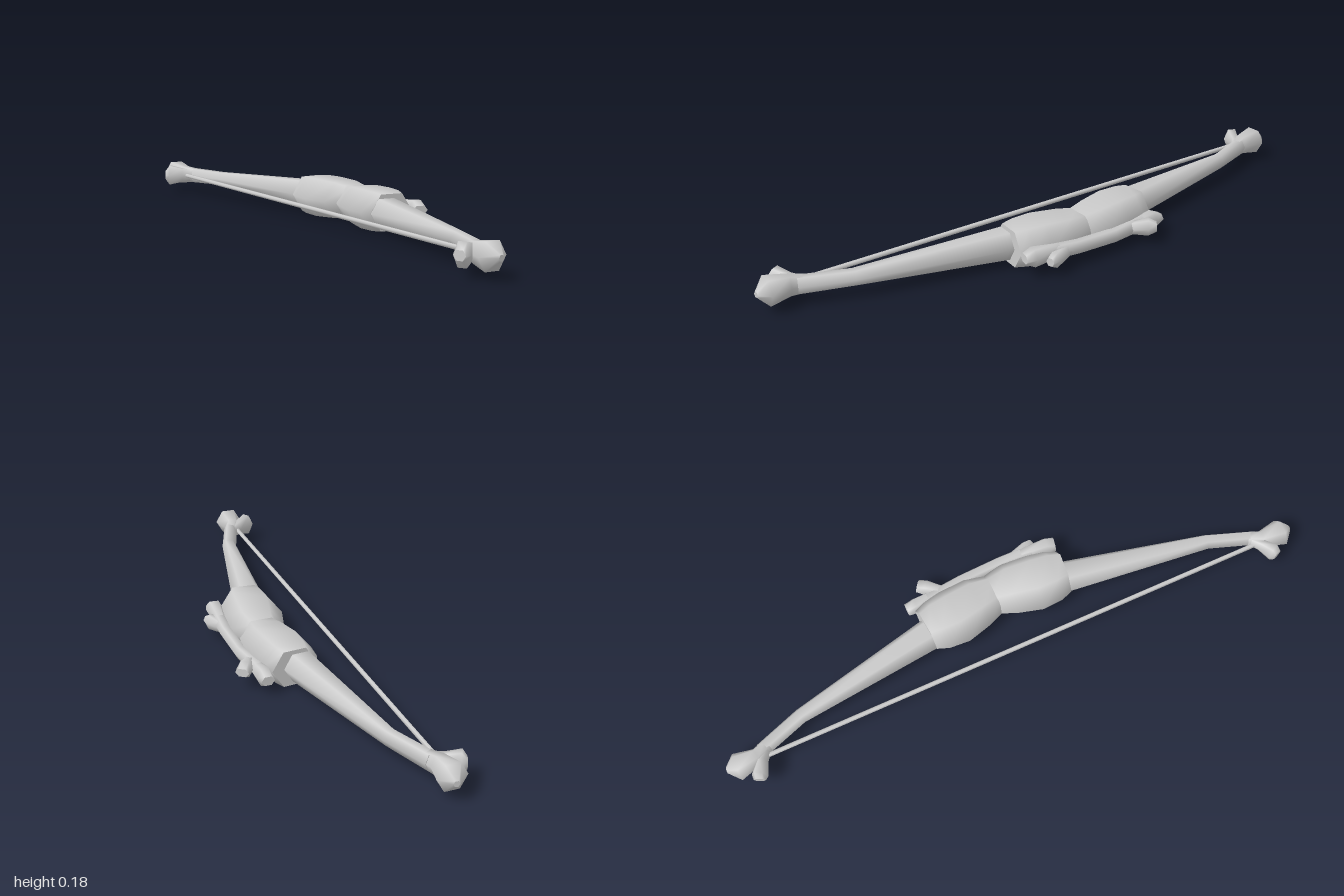
import * as THREE from 'three';

const MID = 0.097; // height of the centre plane
const SIDES = 6;   // hexagonal sections, flat on top and bottom
const bone = new THREE.MeshStandardMaterial({ color: 0xcccccc });
bone.name = 'pale bone grey';

// Loft of hexagonal rings; each ring is [along, out, halfWidth, halfHeight, lift]
function loft(name, rings, sign = 1) {
  const centres = rings.map(r => new THREE.Vector3(r[0] * sign, MID + (r[4] || 0), -r[1]));
  const up = new THREE.Vector3(0, 1, 0);
  const pos = [], idx = [];
  const last = rings.length - 1;
  const addRing = i => {
    const tangent = centres[Math.min(i + 1, last)].clone().sub(centres[Math.max(i - 1, 0)]).setY(0).normalize();
    const side = up.clone().cross(tangent);
    const start = pos.length / 3;
    for (let j = 0; j < SIDES; j++) {
      const a = (j / SIDES) * Math.PI * 2;
      const p = centres[i].clone()
        .addScaledVector(side, Math.cos(a) * rings[i][2])
        .addScaledVector(up, Math.sin(a) / Math.sin(Math.PI / 3) * rings[i][3]);
      pos.push(p.x, p.y, p.z);
    }
    return start;
  };
  for (let i = 0; i <= last; i++) addRing(i);
  for (let i = 0; i < last; i++) {
    for (let j = 0; j < SIDES; j++) {
      const a = i * SIDES + j, b = i * SIDES + (j + 1) % SIDES;
      idx.push(a, b, a + SIDES, b, b + SIDES, a + SIDES);
    }
  }
  // End caps have their own corners so their edges stay sharp
  const s = addRing(0), e = addRing(last);
  for (let j = 1; j < SIDES - 1; j++) {
    idx.push(s, s + j + 1, s + j, e, e + j, e + j + 1);
  }
  const geo = new THREE.BufferGeometry();
  geo.setAttribute('position', new THREE.Float32BufferAttribute(pos, 3));
  geo.setIndex(idx);
  geo.computeVertexNormals();
  const mesh = new THREE.Mesh(geo, bone);
  mesh.name = name;
  return mesh;
}

export function createModel() {
  const model = new THREE.Group();
  model.name = 'bow';
  const bow = new THREE.Group();
  bow.name = 'bowBody';
  bow.rotation.y = -Math.PI / 4; // the bow lies along the diagonal
  model.add(bow);

  for (const s of [-1, 1]) {
    const label = s < 0 ? 'back' : 'front';
    // Swollen half of the grip
    bow.add(loft(label + 'Grip', [
      [-0.03, 0.29, 0.09, 0.07],
      [0.08, 0.284, 0.128, 0.083],
      [0.2, 0.265, 0.142, 0.088],
      [0.29, 0.26, 0.13, 0.087],
      [0.345, 0.255, 0.105, 0.082],
    ], s));
    // Tapering limb
    bow.add(loft(label + 'Limb', [
      [0.3, 0.235, 0.08, 0.065],
      [0.36, 0.226, 0.075, 0.062],
      [1.011, 0.113, 0.035, 0.032],
      [1.225, 0.037, 0.034, 0.036],
    ], s));
    // Knuckled tip: long outer lobe and short inner lobe
    bow.add(loft(label + 'TipOuterLobe', [
      [1.19, 0.048, 0.032, 0.034],
      [1.25, 0.02, 0.04, 0.042],
      [1.348, 0.012, 0.065, 0.057],
      [1.395, 0.018, 0.014, 0.012],
    ], s));
    bow.add(loft(label + 'TipInnerLobe', [
      [1.2, 0.04, 0.025, 0.028],
      [1.235, -0.005, 0.026, 0.034],
      [1.27, -0.064, 0.037, 0.05],
      [1.279, -0.084, 0.027, 0.02],
    ], s));
  }

  // Straight bowstring between the tips
  bow.add(loft('bowstring', [
    [-1.22, 0.006, 0.011, 0.009],
    [1.22, 0.006, 0.011, 0.009],
  ]));

  // Small bone strapped to the outer face of the grip
  bow.add(loft('smallBoneShaft', [
    [-0.28, 0.392, 0.033, 0.03, -0.015],
    [-0.1, 0.415, 0.03, 0.028, -0.018],
    [0.1, 0.42, 0.03, 0.028, -0.01],
    [0.25, 0.41, 0.033, 0.03, 0],
  ]));
  bow.add(loft('smallBoneBackLobe', [
    [-0.23, 0.4, 0.028, 0.026, -0.015],
    [-0.34, 0.39, 0.037, 0.04, -0.02],
    [-0.385, 0.389, 0.03, 0.02, -0.02],
  ]));
  bow.add(loft('smallBoneBackStub', [
    [-0.2, 0.405, 0.025, 0.025, -0.015],
    [-0.265, 0.452, 0.036, 0.036, -0.01],
    [-0.295, 0.474, 0.031, 0.018, -0.01],
  ]));
  bow.add(loft('smallBoneFrontLobe', [
    [0.2, 0.415, 0.028, 0.026, 0],
    [0.325, 0.404, 0.04, 0.04, 0],
    [0.365, 0.396, 0.036, 0.02, 0],
  ]));
  bow.add(loft('smallBoneFrontStub', [
    [0.15, 0.418, 0.025, 0.025, -0.01],
    [0.245, 0.446, 0.03, 0.034, -0.02],
    [0.275, 0.456, 0.02, 0.018, -0.02],
  ]));

  return model;
}
